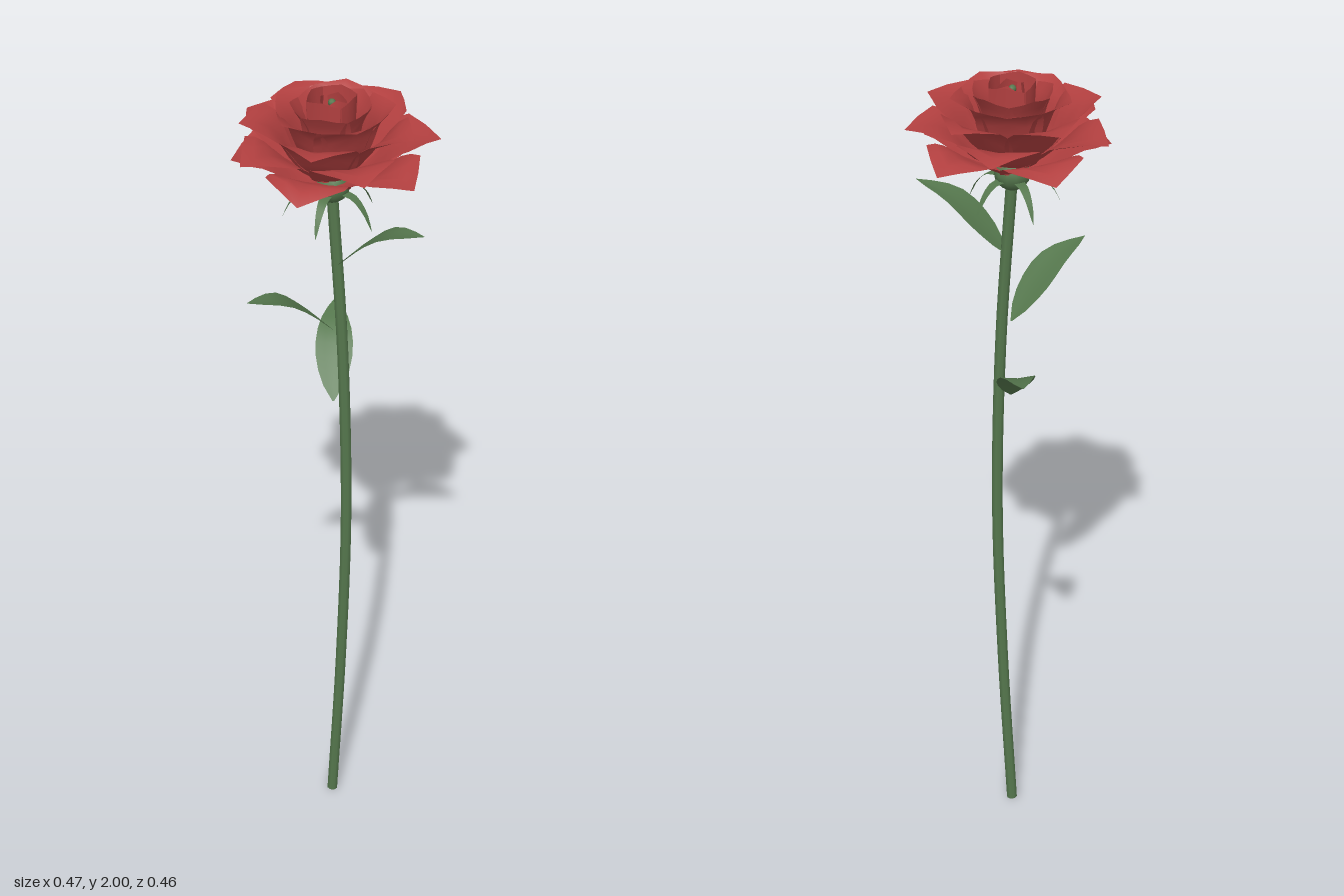
import * as THREE from 'three';

const CX = -0.003, CZ = 0.018; // axis of the flower
const green = new THREE.MeshStandardMaterial({ color: 0x55774d });
const leafGreen = new THREE.MeshStandardMaterial({ color: 0x55774d, side: THREE.DoubleSide });
const red = new THREE.MeshStandardMaterial({ color: 0xb34040, side: THREE.DoubleSide });

// Curved blade: follows a [radius, height] profile along +x, with a half-width rule.
// point: how far the side edges fall short of the tip; bend: sideways wrap; lift: raised edges.
function blade(profile, halfWidth, { point = 0, bend = 0, lift = 0, rows = 7, cols = 4 } = {}) {
  const curve = new THREE.CatmullRomCurve3(profile.map(([r, y]) => new THREE.Vector3(r, y, 0)));
  const pos = [], index = [];
  for (let i = 0; i <= rows; i++) {
    for (let j = 0; j <= cols; j++) {
      const v = (j / cols) * 2 - 1;
      const t = (i / rows) * (1 - point * Math.abs(v));
      const p = curve.getPointAt(t);
      const s = v * halfWidth(i / rows);
      pos.push(p.x - bend * s * s, p.y + lift * Math.abs(s), s);
      if (i < rows && j < cols) {
        const a = i * (cols + 1) + j, b = a + cols + 1;
        index.push(a, a + 1, b, a + 1, b + 1, b);
      }
    }
  }
  const g = new THREE.BufferGeometry();
  g.setAttribute('position', new THREE.Float32BufferAttribute(pos, 3));
  g.setIndex(index);
  g.computeVertexNormals();
  return g;
}

// Repeats a blade around the flower axis; angles run from +x towards +z
function ring(name, geometry, material, count, startDeg) {
  const group = new THREE.Group();
  group.name = name;
  group.position.set(CX, 0, CZ);
  for (let k = 0; k < count; k++) {
    const m = new THREE.Mesh(geometry, material);
    m.name = name + (k + 1);
    m.rotation.y = -THREE.MathUtils.degToRad(startDeg + (k * 360) / count);
    group.add(m);
  }
  return group;
}

export function createModel() {
  const model = new THREE.Group();
  const add = (name, geometry, x, y, z) => {
    const m = new THREE.Mesh(geometry, green);
    m.name = name;
    m.position.set(x, y, z);
    model.add(m);
    return m;
  };

  // Gently bowed stem with a closed foot
  const path = new THREE.CatmullRomCurve3(
    [[-0.002, 0], [0.022, 0.45], [0.035, 0.9], [0.025, 1.35], [CX, 1.78]]
      .map(([x, y]) => new THREE.Vector3(x, y, CZ + 0.002)));
  add('stem', new THREE.TubeGeometry(path, 24, 0.0135, 8), 0, 0, 0);
  add('stemFoot', new THREE.CircleGeometry(0.0135, 8), -0.002, 0.001, CZ + 0.002).rotation.x = Math.PI / 2;

  // Calyx and flower centre
  add('calyx', new THREE.SphereGeometry(0.042, 12, 8), CX, 1.777, CZ);
  add('flowerCentre', new THREE.SphereGeometry(0.009, 8, 6), CX, 1.975, CZ);

  // Sepals curling down below the flower
  const sepal = blade([[0.025, 1.765], [0.06, 1.762], [0.09, 1.735], [0.11, 1.695]],
    t => 0.013 * (1 - t) ** 0.7 + 0.0005, { cols: 2 });
  model.add(ring('sepal', sepal, leafGreen, 5, 12));

  // Three arching leaves spiralling up the stem
  const leaf = blade([[0, 0], [0.065, 0.065], [0.135, 0.12], [0.228, 0.145]],
    t => 0.043 * Math.sin(Math.PI * t ** 0.9) ** 0.85 + 0.002 * (1 - t), { lift: 0.12, rows: 8 });
  [[0.008, 1.57, 7], [0, 1.4, 122], [0, 1.205, 246]].forEach(([x, y, deg], i) => {
    const m = add('leaf' + (i + 1), leaf, x, y, CZ);
    m.material = leafGreen;
    m.rotation.y = -THREE.MathUtils.degToRad(deg);
  });

  // Petal layers, outermost first
  const layers = [
    { name: 'outerPetal', n: 5, deg: 12, w: 0.09, point: 0.22, bend: 0.8, lift: 0.05,
      profile: [[0.015, 1.785], [0.08, 1.81], [0.14, 1.85], [0.18, 1.86], [0.222, 1.832]] },
    { name: 'spreadPetal', n: 5, deg: 48, w: 0.09, point: 0.26, bend: 0.6, lift: 0.08,
      profile: [[0.015, 1.79], [0.08, 1.83], [0.14, 1.885], [0.185, 1.9], [0.238, 1.89]] },
    { name: 'middlePetal', n: 5, deg: 5, w: 0.085, point: 0.22, bend: 1, lift: 0.08,
      profile: [[0.015, 1.795], [0.07, 1.84], [0.12, 1.91], [0.155, 1.935], [0.203, 1.935]] },
    { name: 'cupPetal', n: 5, deg: 42, w: 0.075, point: 0.15, bend: 2.5, lift: 0.08,
      profile: [[0.012, 1.8], [0.06, 1.85], [0.088, 1.92], [0.105, 1.95], [0.14, 1.965]] },
    { name: 'innerPetal', n: 5, deg: 6, w: 0.055, point: 0.1, bend: 5, lift: 0.05,
      profile: [[0.012, 1.81], [0.05, 1.86], [0.066, 1.93], [0.092, 1.978]] },
    { name: 'budPetal', n: 4, deg: 0, w: 0.042, point: 0.06, bend: 5, lift: 0.05,
      profile: [[0.01, 1.82], [0.042, 1.88], [0.048, 1.95], [0.05, 1.995]] },
    { name: 'heartPetal', n: 3, deg: 40, w: 0.026, point: 0.08, bend: 8, lift: 0,
      profile: [[0.008, 1.83], [0.026, 1.89], [0.028, 1.95], [0.024, 1.99]] },
  ];
  for (const { name, n, deg, w, profile, ...shape } of layers) {
    const geometry = blade(profile, t => w * (0.2 + 0.8 * Math.sin((Math.PI / 2) * Math.min(1, t * 1.15))), shape);
    model.add(ring(name, geometry, red, n, deg));
  }
  return model;
}
